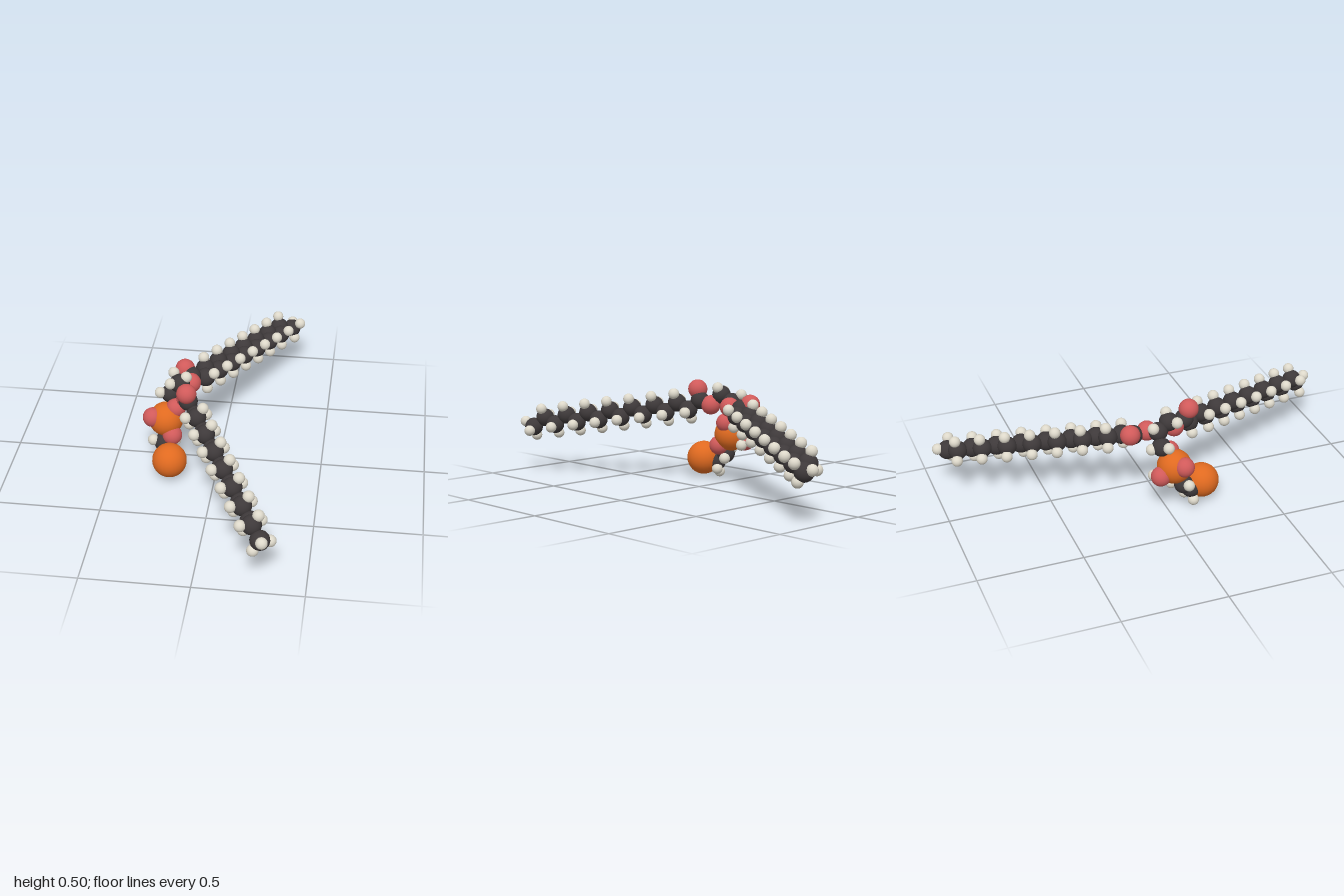
import * as THREE from 'three';

// One colour, radius and shared sphere per kind of atom
const kind = (name, color, radius) => {
  const material = new THREE.MeshStandardMaterial({ color });
  material.name = name;
  return { material, geometry: new THREE.SphereGeometry(radius, 24, 16) };
};
const V = (x, y, z) => new THREE.Vector3(x, y, z);

export function createModel() {
  const carbon = kind('charcoal', 0x3e393a, 0.0455);
  const hydrogen = kind('ivory', 0xddd8ca, 0.027);
  const oxygen = kind('coral red', 0xd05a5a, 0.0475);
  const phosphorus = kind('orange', 0xe06a20, 0.083);

  const model = new THREE.Group();
  model.name = 'lipidMolecule';

  const part = (name) => {
    const group = new THREE.Group();
    group.name = name;
    model.add(group);
    return group;
  };
  const atom = (group, name, type, pos) => {
    const mesh = new THREE.Mesh(type.geometry, type.material);
    mesh.name = name;
    mesh.position.copy(pos);
    group.add(mesh);
  };
  const atoms = (group, name, type, list) =>
    list.forEach((p) => atom(group, name, type, V(...p)));

  // Head: two large atoms, their oxygens and a short carbon link
  const head = part('headGroup');
  atoms(head, 'phosphorusAtom', phosphorus, [[-0.217, 0.097, 0.191], [-0.255, 0.229, 0.035]]);
  atoms(head, 'oxygenAtom', oxygen, [
    [-0.218, 0.171, 0.085], [-0.208, 0.29, 0.027],
    [-0.316, 0.251, 0.063], [-0.275, 0.2, -0.04],
  ]);
  atoms(head, 'carbonAtom', carbon, [[-0.262, 0.124, 0.08], [-0.244, 0.082, 0.125]]);
  atoms(head, 'hydrogenAtom', hydrogen, [
    [-0.23, 0.185, -0.06], [-0.21, 0.11, 0.037], [-0.31, 0.139, 0.09],
    [-0.268, 0.028, 0.13], [-0.222, 0.05, 0.1],
  ]);

  // Backbone: three carbons joining the head to both tails
  const backbone = part('backbone');
  atoms(backbone, 'carbonAtom', carbon, [
    [-0.24, 0.338, -0.025], [-0.198, 0.398, -0.025], [-0.183, 0.432, 0.032],
  ]);
  atoms(backbone, 'hydrogenAtom', hydrogen, [
    [-0.287, 0.351, -0.005], [-0.235, 0.33, -0.072], [-0.228, 0.435, -0.06],
    [-0.227, 0.443, 0.058], [-0.155, 0.468, 0.03],
  ]);

  // Tail: sixteen carbons in a zigzag, two hydrogens on each inner one
  const tail = (name, { even, odd, step, oxygens, end }) => {
    const group = part(name);
    const u = step.clone().normalize();
    const p = odd.clone().sub(even);
    p.addScaledVector(u, -p.dot(u)).normalize();
    const n = u.clone().cross(p);
    for (let k = 0; k < 16; k++) {
      const side = k % 2 ? 1 : -1;
      const c = (k % 2 ? odd : even).clone().addScaledVector(step, -Math.floor((15 - k) / 2));
      atom(group, 'carbonAtom', carbon, c);
      if (k === 0 || k === 15) continue;
      for (const s of [-1, 1]) {
        const h = c.clone().addScaledVector(p, side * 0.031).addScaledVector(n, s * 0.046);
        atom(group, 'hydrogenAtom', hydrogen, h);
      }
    }
    atoms(group, 'oxygenAtom', oxygen, oxygens);
    atoms(group, 'endHydrogenAtom', hydrogen, end);
  };

  tail('frontTail', {
    even: V(0.25, 0.276, 0.88),
    odd: V(0.291, 0.228, 0.921),
    step: V(0.0545, -0.0178, 0.107),
    oxygens: [[-0.15, 0.38, 0.073], [-0.137, 0.453, 0.152]],
    end: [[0.303, 0.252, 0.973], [0.335, 0.213, 0.9], [0.261, 0.181, 0.936]],
  });
  tail('backTail', {
    even: V(0.2085, 0.25, -0.89),
    odd: V(0.273, 0.225, -0.927),
    step: V(0.0516, -0.0183, -0.1083),
    oxygens: [[-0.145, 0.382, -0.062], [-0.188, 0.4, -0.16]],
    end: [[0.272, 0.238, -0.973], [0.317, 0.264, -0.91], [0.29, 0.18, -0.905]],
  });

  return model;
}
